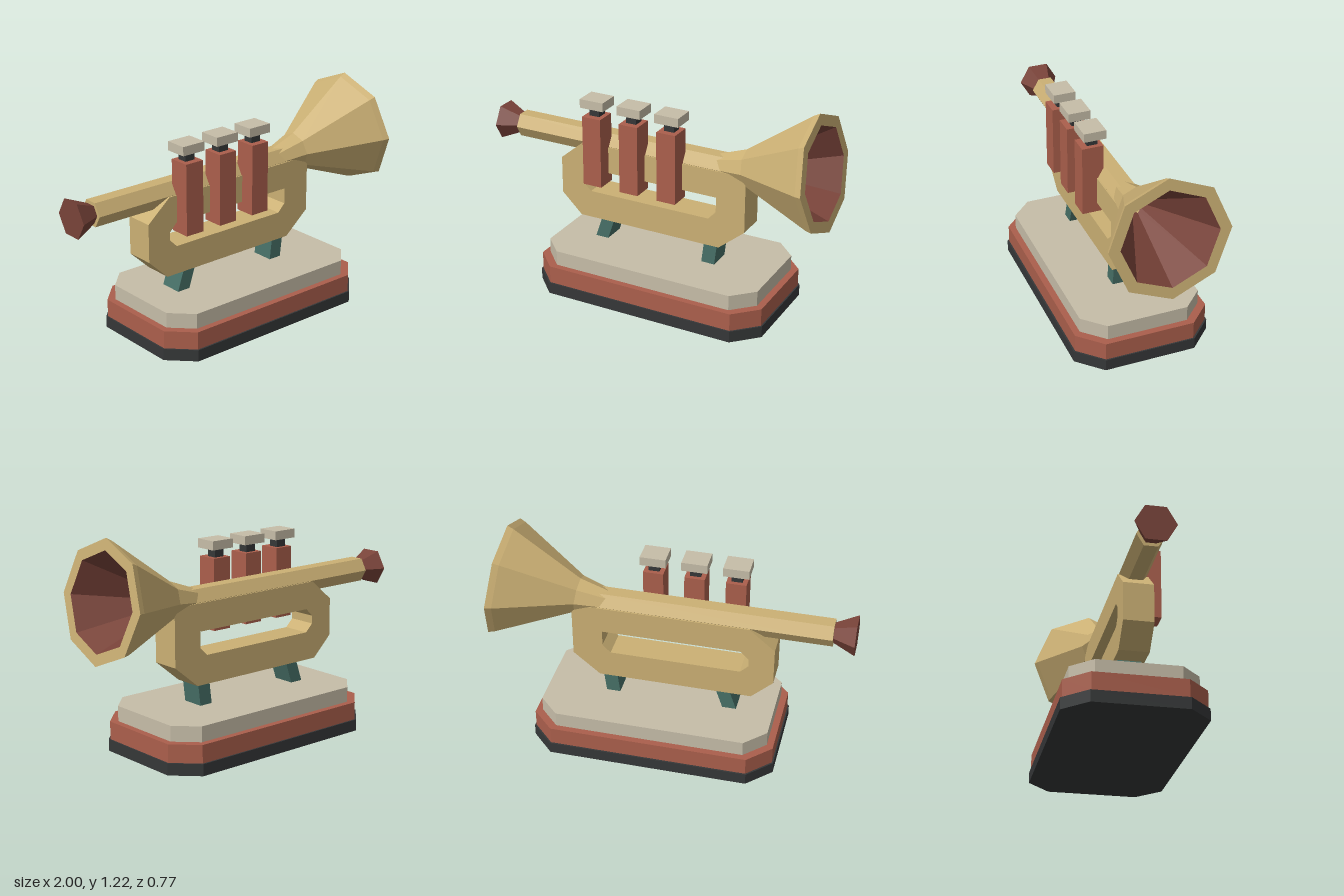
import * as THREE from 'three';

const mat = (name, color, side = THREE.FrontSide) => {
  const m = new THREE.MeshStandardMaterial({ color, side });
  m.name = name;
  m.flatShading = true;
  return m;
};

export function createModel() {
  const brass = mat('brass', 0xcbb074);
  const red = mat('brick red', 0xab5f4c);
  const cream = mat('cream', 0xc6bda8);
  const black = mat('charcoal', 0x353738);
  const teal = mat('teal', 0x477067);
  const maroon = mat('maroon', 0x794339);
  const group = new THREE.Group();

  const add = (name, geometry, material, x = 0, y = 0, z = 0) => {
    const mesh = new THREE.Mesh(geometry, material);
    mesh.name = name;
    mesh.position.set(x, y, z);
    group.add(mesh);
    return mesh;
  };
  const polygon = (pts) => new THREE.Shape(pts.map(([x, y]) => new THREE.Vector2(x, y)));
  const extrude = (shape, depth) => new THREE.ExtrudeGeometry(shape, { depth, bevelEnabled: false });

  // Stepped plinth: plates with cut corners
  const plate = (name, hx, hz, cut, y0, y1, material) => {
    const g = extrude(polygon([
      [-hx + cut, -hz], [hx - cut, -hz], [hx, -hz + cut], [hx, hz - cut],
      [hx - cut, hz], [-hx + cut, hz], [-hx, hz - cut], [-hx, -hz + cut],
    ]), y1 - y0);
    add(name, g.rotateX(-Math.PI / 2), material, 0.058, y0);
  };
  plate('plinthBottom', 0.688, 0.385, 0.13, 0, 0.065, black);
  plate('plinthMiddle', 0.68, 0.376, 0.126, 0.065, 0.165, red);
  plate('plinthTop', 0.643, 0.34, 0.114, 0.165, 0.25, cream);

  // Slanted supports
  const support = (name, xb, xt) => add(name, extrude(polygon([
    [xb - 0.039, 0.24], [xb + 0.039, 0.24], [xt + 0.039, 0.4], [xt - 0.039, 0.4],
  ]), 0.13), teal, 0, 0, -0.065);
  support('leftSupport', 0.328, 0.347);
  support('rightSupport', -0.341, -0.287);

  // Looped tube with its long opening
  const loop = polygon([
    [-0.58, 0.7], [-0.58, 0.485], [-0.46, 0.37], [0.4, 0.37],
    [0.55, 0.495], [0.55, 0.79], [0.52, 0.818], [-0.44, 0.818],
  ]);
  loop.holes.push(polygon([
    [-0.44, 0.62], [-0.395, 0.665], [0.38, 0.665], [0.38, 0.575],
    [0.335, 0.53], [-0.395, 0.53], [-0.44, 0.575],
  ]));
  add('tubeLoop', extrude(loop, 0.164), brass, 0, 0, -0.082);

  // Lead pipe and mouthpiece
  const alongX = (rLeft, rRight, length) =>
    new THREE.CylinderGeometry(rRight, rLeft, length, 6).rotateZ(-Math.PI / 2);
  add('leadPipe', alongX(0.075, 0.075, 1.37), brass, -0.195, 0.82);
  add('mouthpiece', alongX(0.11, 0.055, 0.12), maroon, -0.94, 0.82);

  // Flared bell, tipped slightly upward; heights are measured back from the mouth
  const lathe = (pts) => new THREE.LatheGeometry(pts.map(([r, s]) => new THREE.Vector2(r, s)), 8);
  const bell = (name, pts, material) => {
    add(name, lathe(pts), material, 0.955, 0.895).rotation.z = -Math.PI / 2 + 0.13;
  };
  bell('bellOuter', [[0, -0.6], [0.066, -0.6], [0.104, -0.43], [0.315, -0.035], [0.328, 0], [0.265, 0]], brass);
  bell('bellInner', [[0.265, 0], [0.03, -0.445]], maroon);
  bell('bellThroat', [[0.03, -0.445], [0, -0.445]], brass);

  // Three valves with stems and finger caps
  [-0.335, -0.108, 0.12].forEach((x, i) => {
    add(`valve${i + 1}`, new THREE.BoxGeometry(0.112, 0.4, 0.12), red, x, 0.81, 0.104);
    add(`valveStem${i + 1}`, new THREE.BoxGeometry(0.06, 0.06, 0.06), black, x, 1.035, 0.097);
    add(`valveCap${i + 1}`, new THREE.BoxGeometry(0.142, 0.05, 0.125), cream, x, 1.083, 0.097);
  });

  return group;
}
